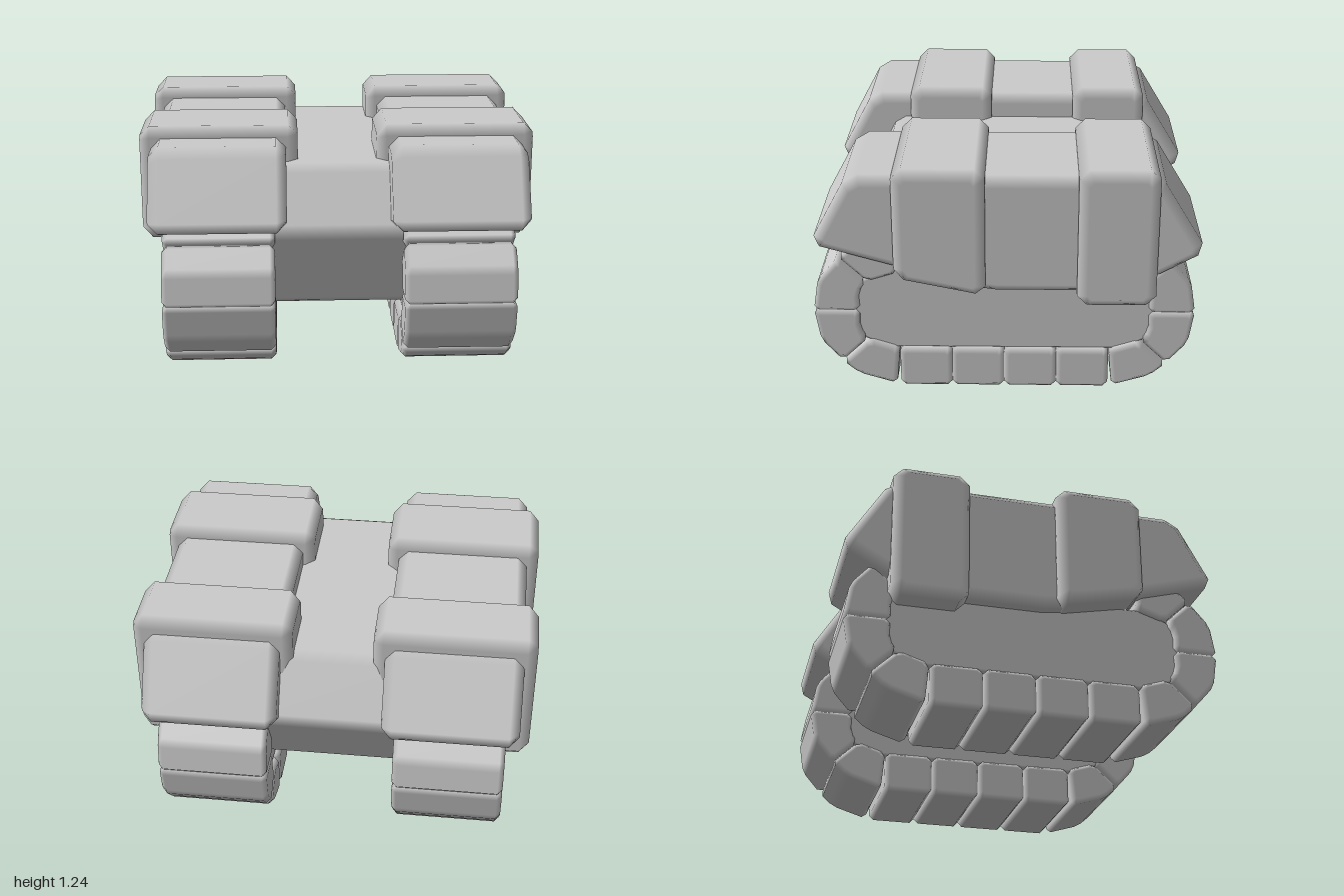
import * as THREE from 'three';

const material = new THREE.MeshStandardMaterial({ color: 0xcccccc });

// Cut every corner of a side profile by a distance c along both edges
function chamfer(points, c) {
  const v = points.map(([z, y]) => new THREE.Vector2(z, y));
  const n = v.length;
  return v.flatMap((p, i) => [v[(i + n - 1) % n], v[(i + 1) % n]].map((q) => {
    const d = q.clone().sub(p);
    return p.clone().addScaledVector(d, Math.min(c / d.length(), 0.4));
  }));
}

// Give each vertex the normal of its largest adjoining face: flat faces, soft bevels
function faceWeightedNormals(geometry) {
  const geo = geometry.index ? geometry.toNonIndexed() : geometry;
  const pos = geo.attributes.position;
  const areas = new Map(), corners = new Map(), faces = [];
  const tri = new THREE.Triangle();
  const key = (v, s) => [v.x, v.y, v.z].map((k) => Math.round(k * s) + 0).join();
  const at = (i) => new THREE.Vector3().fromBufferAttribute(pos, i);
  for (let i = 0; i < pos.count; i += 3) {
    tri.set(at(i), at(i + 1), at(i + 2));
    const normal = tri.getNormal(new THREE.Vector3());
    const face = { normal, id: key(normal, 50) };
    areas.set(face.id, (areas.get(face.id) || 0) + tri.getArea());
    faces.push(face);
    for (const p of [tri.a, tri.b, tri.c]) {
      const k = key(p, 1e4);
      if (!corners.has(k)) corners.set(k, []);
      corners.get(k).push(face);
    }
  }
  for (let i = 0; i < pos.count; i++) {
    const best = corners.get(key(at(i), 1e4))
      .reduce((a, b) => (areas.get(b.id) > areas.get(a.id) ? b : a));
    geo.attributes.normal.setXYZ(i, best.normal.x, best.normal.y, best.normal.z);
  }
  return geo;
}

// Bevelled block: a [z, y] profile extruded across x, centred on x = 0
function block(profile, width, bevel) {
  const depth = width - 2 * bevel;
  const geo = new THREE.ExtrudeGeometry(new THREE.Shape(chamfer(profile, bevel)), {
    depth, bevelEnabled: true, bevelSegments: 1,
    bevelThickness: bevel, bevelSize: bevel, bevelOffset: -bevel,
  });
  geo.rotateY(-Math.PI / 2).translate(depth / 2, 0, 0);
  return faceWeightedNormals(geo);
}

function add(parent, name, geometry, x = 0) {
  const mesh = new THREE.Mesh(geometry, material);
  mesh.name = name;
  mesh.position.x = x;
  parent.add(mesh);
}

// The track loop is symmetric about these two lines
const TRACK_Z = 0.01, TRACK_Y = 0.432;
const flip = (profile, fz, fy) => profile.map(([z, y]) => [
  fz ? 2 * TRACK_Z - z : z, fy ? 2 * TRACK_Y - y : y]);

function trackLinks() {
  const end = [[0.968, 0.435], [0.94, 0.26], [0.835, 0.14], [0.7, 0.27], [0.74, 0.33], [0.735, 0.435]];
  const corner = [[0.835, 0.135], [0.755, 0.065], [0.56, 0.005], [0.54, 0.22], [0.695, 0.27]];
  const links = [];
  for (const fz of [false, true]) {
    for (const fy of [false, true]) links.push(flip(end, fz, fy), flip(corner, fz, fy));
  }
  // Flat links on the ground
  for (let i = 0; i < 4; i++) {
    const a = 0.54 - i * 0.265, b = a - 0.265;
    links.push([[a, 0], [b, 0], [b, 0.22], [a, 0.22]]);
  }
  return links.map((p) => block(p, 0.56, 0.025));
}

export function createModel() {
  const model = new THREE.Group();
  model.name = 'trackedVehicle';

  // Central hull with sloped nose and tail
  add(model, 'hull', block([
    [0.62, 1.06], [0.785, 0.755], [0.67, 0.335],
    [-0.62, 0.335], [-0.865, 0.75], [-0.69, 1.06],
  ], 0.76, 0.04));

  const fender = block([
    [0.765, 1.185], [0.965, 0.815], [0.1, 0.57],
    [-0.59, 0.57], [-0.985, 0.79], [-0.745, 1.185],
  ], 0.68, 0.05);
  const frontBand = block([[0.55, 1.238], [0.55, 0.66], [0.1, 0.567], [0.1, 1.238]], 0.8, 0.05);
  const rearBand = block([[-0.35, 1.238], [-0.35, 0.52], [-0.74, 0.52], [-0.74, 1.238]], 0.8, 0.05);
  const links = trackLinks();
  // Plate filling the inside of the track loop
  const quarter = [[0.77, 0.36], [0.72, 0.27], [0.6, 0.215]];
  const plate = block([
    ...quarter,
    ...flip(quarter, true, false).reverse(),
    ...flip(quarter, true, true),
    ...flip(quarter, false, true).reverse(),
  ], 0.5, 0.01);

  for (const [side, s] of [['left', 1], ['right', -1]]) {
    const group = new THREE.Group();
    group.name = side + 'Side';
    add(group, 'fender', fender, s * 0.6);
    add(group, 'frontBand', frontBand, s * 0.6);
    add(group, 'rearBand', rearBand, s * 0.6);
    add(group, 'trackPlate', plate, s * 0.6);
    const track = new THREE.Group();
    track.name = 'track';
    links.forEach((g) => add(track, 'trackLink', g, s * 0.6));
    group.add(track);
    model.add(group);
  }
  return model;
}
